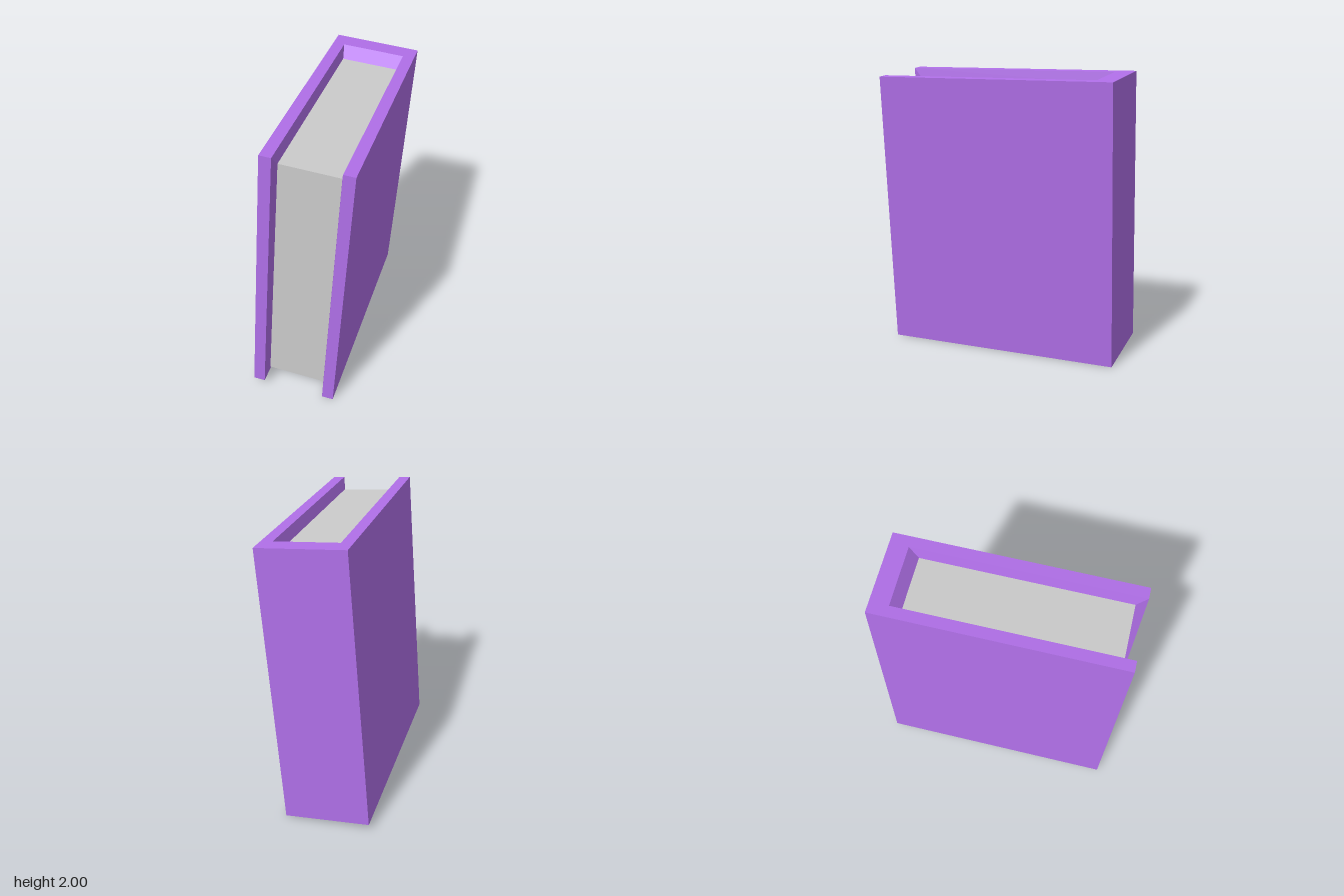
import * as THREE from 'three';

// Half sizes [x, y], back z and front z of the three nested outlines
const OUTER = { x: 0.298, y: 0.98, b: -0.84, f: 0.84 };
const RIM = { x: 0.218, y: 0.98, b: -0.71, f: 0.84 };
const PAGE = { x: 0.201, y: 0.9, b: -0.645, f: 0.77 };

// Corner of an outline: sx and sy are +1 or -1, end is 'b' (back) or 'f' (front)
const corner = (o, sx, sy, end) => [o.x * sx, o.y * sy, o[end]];

function coverGeometry() {
  const positions = [];
  const quad = (flip, ...p) => {
    const [a, b, c, d] = flip ? p.reverse() : p;
    positions.push(...a, ...b, ...c, ...a, ...c, ...d);
  };

  for (const s of [1, -1]) {
    const O = (t, e) => corner(OUTER, s, t, e);
    const R = (t, e) => corner(RIM, s, t, e);
    const P = (t, e) => corner(PAGE, s, t, e);
    // Board: outside face, front edge, slope down to the front of the pages
    quad(s < 0, O(-1, 'f'), O(-1, 'b'), O(1, 'b'), O(1, 'f'));
    quad(s < 0, R(-1, 'f'), O(-1, 'f'), O(1, 'f'), R(1, 'f'));
    quad(s < 0, P(-1, 'f'), R(-1, 'f'), R(1, 'f'), P(1, 'f'));
    // Board: top and bottom edges and the slopes to the page block
    for (const t of [1, -1]) {
      quad(s * t < 0, R(t, 'f'), O(t, 'f'), O(t, 'b'), R(t, 'b'));
      quad(s * t < 0, P(t, 'f'), R(t, 'f'), R(t, 'b'), P(t, 'b'));
    }
  }

  // Spine: top and bottom edges, slopes to the page block
  const back = (o, s, t) => corner(o, s, t, 'b');
  for (const t of [1, -1]) {
    quad(t < 0, back(RIM, -1, t), back(RIM, 1, t), back(OUTER, 1, t), back(OUTER, -1, t));
    quad(t < 0, back(PAGE, -1, t), back(PAGE, 1, t), back(RIM, 1, t), back(RIM, -1, t));
  }
  // Spine: outside face
  quad(false, back(OUTER, 1, -1), back(OUTER, -1, -1), back(OUTER, -1, 1), back(OUTER, 1, 1));

  const geometry = new THREE.BufferGeometry();
  geometry.setAttribute('position', new THREE.Float32BufferAttribute(positions, 3));
  geometry.computeVertexNormals();
  return geometry;
}

export function createModel() {
  const book = new THREE.Group();
  book.name = 'book';

  const cover = new THREE.Mesh(
    coverGeometry(),
    new THREE.MeshStandardMaterial({ color: 0xb06fe8, flatShading: true })
  );
  cover.name = 'cover';

  // Page block, recessed between the boards
  const pages = new THREE.Mesh(
    new THREE.BoxGeometry(PAGE.x * 2, PAGE.y * 2, PAGE.f - PAGE.b),
    new THREE.MeshStandardMaterial({ color: 0xcccccc, flatShading: true })
  );
  pages.name = 'pages';
  pages.position.z = (PAGE.f + PAGE.b) / 2;

  // The book leans slightly to its left, resting on one lower edge
  book.add(cover, pages);
  book.rotation.z = -0.0745;
  book.position.y = 1;

  const model = new THREE.Group();
  model.name = 'leaningBook';
  model.add(book);
  return model;
}
